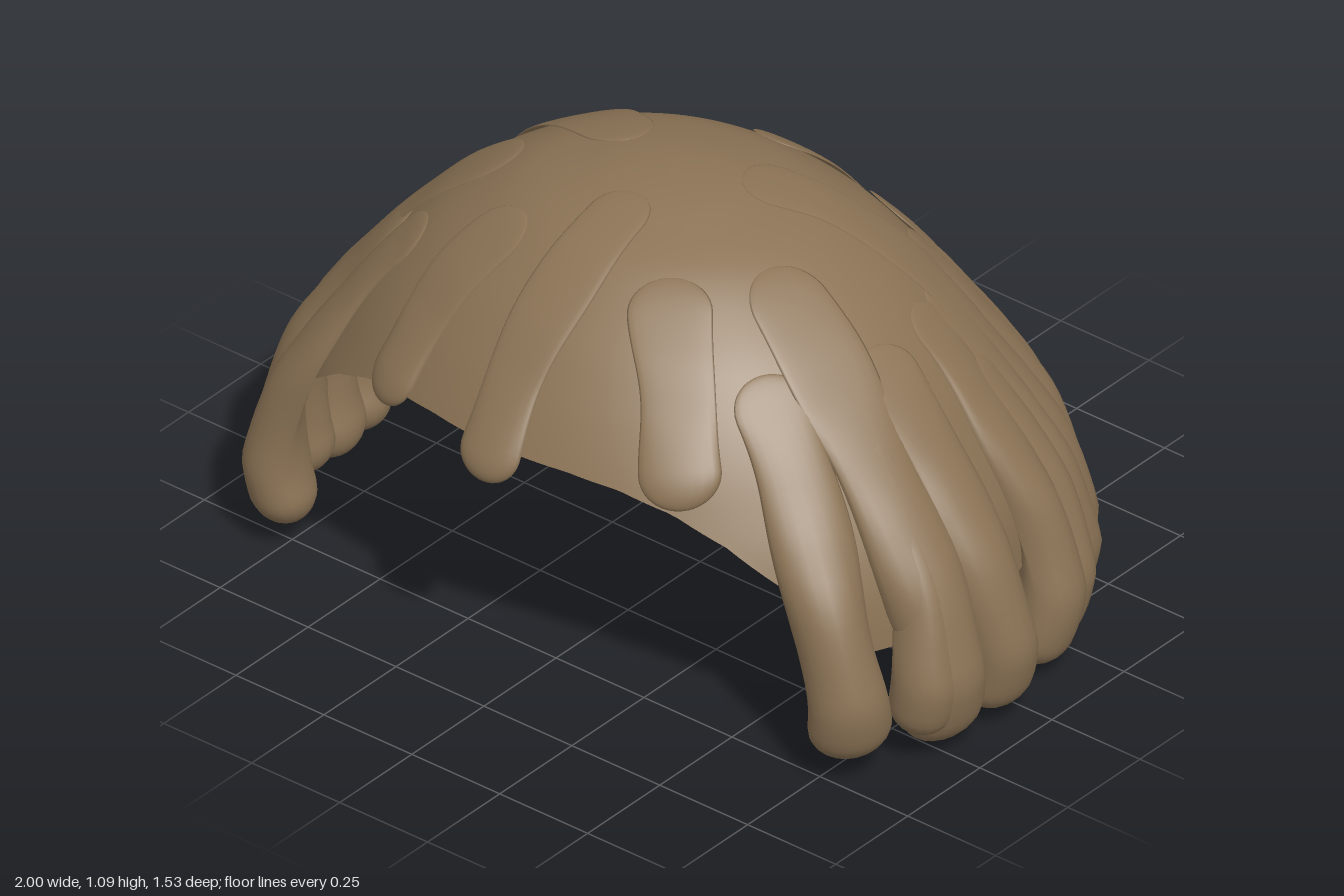
import * as THREE from 'three';

const RAD = Math.PI / 180, A = 0.87, B = 0.735, ZC = 0.1;
const V = (x, y, z) => new THREE.Vector3(x, y, z);

// Dome profile: radius factor and height, continued below the rim for the hanging tips
const profile = new THREE.SplineCurve([
  [0, 1.075], [0.12, 1.069], [0.24, 1.05], [0.42, 1.0], [0.6, 0.9], [0.72, 0.8], [0.81, 0.7],
  [0.88, 0.6], [0.94, 0.5], [0.98, 0.4], [1, 0.28], [1, 0.15], [0.95, 0],
].map(([r, y]) => new THREE.Vector2(r, y)));
const samples = profile.getSpacedPoints(400);

// Profile parameter (0 at the crown) for a height
function paramAt(y) {
  const i = samples.findIndex((p) => p.y <= y);
  if (i < 0) return 1;
  if (i === 0) return 0;
  const a = samples[i - 1], b = samples[i];
  return (i - 1 + (a.y - y) / (a.y - b.y)) / 400;
}

function lerpTable(table, x) {
  let i = 1;
  while (i < table.length - 1 && x > table[i][0]) i++;
  const [x0, y0] = table[i - 1], [x1, y1] = table[i];
  return THREE.MathUtils.lerp(y0, y1, THREE.MathUtils.clamp((x - x0) / (x1 - x0), 0, 1));
}

// Point and outward normal on the dome, t measured from the front toward +x
function dome(t, p) {
  const q = profile.getPointAt(p), d = profile.getTangentAt(p);
  const s = Math.sin(t), c = Math.cos(t), r = Math.max(q.x, 0.0005);
  const down = V(A * d.x * s, d.y, B * d.x * c), around = V(A * r * c, 0, -B * r * s);
  return { pos: V(A * r * s, q.y, ZC + B * r * c), normal: down.cross(around).normalize() };
}

// Smooth surface through a list of closed rings
function loft(rings) {
  const m = rings[0].length, index = [];
  for (let i = 0; i < rings.length - 1; i++) {
    for (let j = 0; j < m; j++) {
      const a = i * m + j, b = i * m + (j + 1) % m;
      index.push(a, b, a + m, b, b + m, a + m);
    }
  }
  const g = new THREE.BufferGeometry().setFromPoints(rings.flat());
  g.setIndex(index);
  g.computeVertexNormals();
  return g;
}

// Cap, cut high above the face and level around the sides and back
const RIM = [[0, 0.66], [15, 0.658], [25, 0.645], [35, 0.61], [44, 0.55], [54, 0.45], [59, 0.37], [62, 0.28], [180, 0.28]];
function capGeometry() {
  const m = 180, n = 48, rings = [];
  for (let i = 0; i <= n; i++) {
    const ring = [];
    for (let j = 0; j < m; j++) {
      const deg = 180 - (j * 360) / m;
      const end = paramAt(lerpTable(RIM, Math.abs(deg)));
      ring.push(dome(deg * RAD, (end * i) / n).pos);
    }
    rings.push(ring);
  }
  return loft(rings);
}

// By height: how far a lock stands proud of the cap, where its widest line lies,
// and its depth inward (flat on the cap, round below the rim)
const PROUD = [[0, 0.1], [0.2, 0.125], [0.4, 0.085], [0.5, 0.058], [0.65, 0.03], [0.8, 0.012], [1.08, 0.007]];
const LIFT = [[0, 0.03], [0.2, 0.045], [0.3, 0.02], [0.38, 0.004], [0.8, 0.003], [1.08, 0.001]];
const DEPTH = [[0, 0.075], [0.2, 0.075], [0.28, 0.04], [0.38, 0.003], [1.08, 0.002]];

// Lock of hair: rounded strip that follows the dome and swells toward its tip
function lockGeometry(t0, y0, t1, y1, w, seed) {
  const n = 44, m = 20, p0 = paramAt(y0), p1 = paramAt(y1), spine = [];
  let length = 0;
  for (let i = 0; i <= n; i++) {
    const u = 0.5 - 0.5 * Math.cos((Math.PI * i) / n);
    const sway = 1.2 * Math.sin(u * 7 + seed * 2.1) * u * (1 - u) * 2;
    const s = dome((THREE.MathUtils.lerp(t0, t1, u) + sway) * RAD, THREE.MathUtils.lerp(p0, p1, u));
    const y = s.pos.y, lift = lerpTable(LIFT, y);
    s.up = lerpTable(PROUD, y) - lift;
    s.depth = lerpTable(DEPTH, y);
    s.pos.addScaledVector(s.normal, lift);
    if (i) length += s.pos.distanceTo(spine[i - 1].pos);
    s.at = length;
    spine.push(s);
  }
  const round = (q) => Math.sqrt(Math.max(1e-6, 1 - (1 - Math.min(q, 1)) ** 2));
  return loft(spine.map((s, i) => {
    const T = spine[Math.min(i + 1, n)].pos.clone().sub(spine[Math.max(i - 1, 0)].pos).normalize();
    const side = s.normal.clone().cross(T).normalize();
    const f = round(s.at / w) * round((length - s.at) / w);
    const half = w * f * (1 + 0.07 * Math.sin(s.at * 13 + seed * 1.7));
    return Array.from({ length: m }, (_, j) => {
      const a = (j / m) * Math.PI * 2, h = Math.sin(a);
      return s.pos.clone().addScaledVector(side, half * Math.cos(a))
        .addScaledVector(s.normal, f * h * (h > 0 ? s.up : s.depth));
    });
  }));
}

// Locks: start angle, start height, tip angle, tip height, half width
const FRINGE = [
  [0, 1.065, 0, 0.585, 0.08], [-34, 1.0, -27, 0.605, 0.085], [34, 1.0, 37, 0.62, 0.09],
];
const LEFT = [
  [56, 0.86, 63, 0.06, 0.09], [72, 1.0, 80, 0.03, 0.1], [77, 0.75, 75, 0.08, 0.07],
  [87, 0.85, 93, 0.04, 0.09], [111, 0.85, 108, 0.03, 0.08], [117, 0.72, 115, 0.03, 0.075],
  [122, 0.84, 124, 0.02, 0.075], [128, 1.06, 131, 0.0, 0.085], [143, 0.85, 140, 0.02, 0.08],
  [150, 0.78, 148, 0.07, 0.08],
];
const BACK = [
  [158, 0.85, 166, 0.08, 0.09], [180, 0.99, 176, 0.1, 0.08],
  [190, 0.75, 186, 0.06, 0.08], [199, 0.85, 192, 0.05, 0.075],
];
const RIGHT = [
  [214, 0.85, 207, 0.05, 0.075], [218, 0.7, 215, 0.05, 0.07], [226, 0.82, 223, 0.02, 0.08],
  [234, 0.75, 231, 0.05, 0.075], [246, 1.06, 238, 0.03, 0.085], [249, 0.8, 245, 0.06, 0.08],
  [258, 0.75, 263, 0.09, 0.08], [268, 0.7, 270, 0.04, 0.075], [282, 0.99, 277, 0.03, 0.09],
  [287, 0.8, 287, 0.06, 0.085], [302, 0.86, 302, 0.06, 0.085],
];

// Long lumps on the inside of the back: angle and height
const LUMPS = [[147, 0.5], [169, 0.45], [192, 0.44], [211, 0.45]];

export function createModel() {
  const hair = new THREE.MeshStandardMaterial({ color: 0x8b7355, side: THREE.DoubleSide });
  hair.name = 'brown hair';
  const model = new THREE.Group();
  model.name = 'wig';

  const cap = new THREE.Mesh(capGeometry(), hair);
  cap.name = 'hairCap';
  model.add(cap);

  for (const [name, list] of Object.entries({ fringe: FRINGE, leftLocks: LEFT, backLocks: BACK, rightLocks: RIGHT })) {
    const group = new THREE.Group();
    group.name = name;
    list.forEach((l, i) => {
      const lock = new THREE.Mesh(lockGeometry(...l, i + name.length), hair);
      lock.name = 'lock' + (i + 1);
      group.add(lock);
    });
    model.add(group);
  }

  for (const [deg, y] of LUMPS) {
    const { pos, normal } = dome(deg * RAD, paramAt(y));
    const lump = new THREE.Mesh(new THREE.SphereGeometry(1, 20, 14), hair);
    lump.name = 'innerLump';
    lump.scale.set(0.055, 0.17, 0.03);
    lump.position.copy(pos);
    lump.lookAt(pos.clone().add(normal));
    model.add(lump);
  }
  return model;
}
